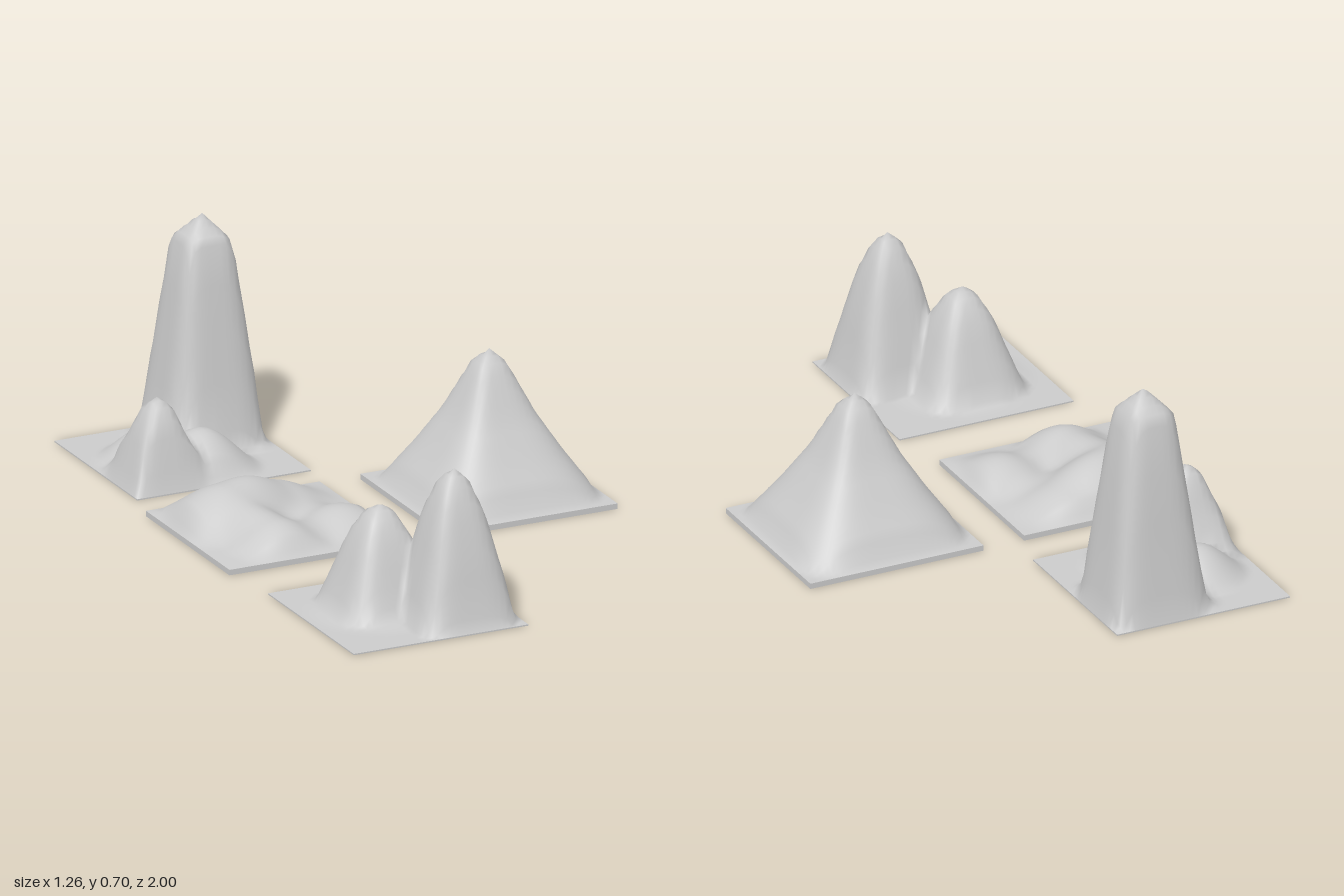
import * as THREE from 'three';

const CELLS = 28;

// Piecewise-linear lookup through [distance, height] pairs
function lookup(profile, d) {
  for (let i = 1; i < profile.length; i++) {
    const [d0, h0] = profile[i - 1], [d1, h1] = profile[i];
    if (d <= d1) return h0 + (h1 - h0) * (d - d0) / (d1 - d0);
  }
  return 0;
}

// Mountain with a rounded-square plan
const peak = (cx, cz, profile) => (x, z) =>
  lookup(profile, ((x - cx) ** 4 + (z - cz) ** 4) ** 0.25);

// Soft round hill
const hill = (cx, cz, height, radius) => (x, z) => {
  const t = Math.min(1, Math.hypot(x - cx, z - cz) / radius);
  return height * (1 - t * t) ** 2;
};

const bell = (h) => [[0, h], [0.04, 0.92 * h], [0.08, 0.71 * h], [0.12, 0.37 * h], [0.16, 0.015]];

// One terrain tile: smooth top, vertical skirt and flat underside
function tile(name, [x0, x1, z0, z1], base, heightAt, material) {
  const group = new THREE.Group();
  group.name = name;
  const w = x1 - x0, d = z1 - z0;

  const top = new THREE.PlaneGeometry(w, d, CELLS, CELLS).rotateX(-Math.PI / 2);
  top.translate((x0 + x1) / 2, 0, (z0 + z1) / 2);
  const p = top.attributes.position;
  for (let i = 0; i < p.count; i++) {
    const x = p.getX(i), z = p.getZ(i);
    const edge = Math.min(x - x0, x1 - x, z - z0, z1 - z);
    const fade = Math.min(1, Math.max(0, edge) / 0.04);
    p.setY(i, base + fade * Math.max(0, heightAt(x, z) - base));
  }
  top.computeVertexNormals();
  const surface = new THREE.Mesh(top, material);
  surface.name = 'terrainSurface';
  group.add(surface);

  const slab = new THREE.BoxGeometry(w, base, d);
  // Drop the upper face, which the terrain replaces
  const index = Array.from(slab.index.array);
  index.splice(12, 6);
  slab.setIndex(index);
  slab.clearGroups();
  slab.translate((x0 + x1) / 2, base / 2, (z0 + z1) / 2);
  const foot = new THREE.Mesh(slab, material);
  foot.name = 'tileBase';
  group.add(foot);
  return group;
}

export function createModel() {
  const model = new THREE.Group();
  model.name = 'terrainTiles';
  const material = new THREE.MeshStandardMaterial({ color: 0xcccccc });
  const highest = (...fs) => (x, z) => Math.max(...fs.map((f) => f(x, z)));
  const sum = (...fs) => (x, z) => fs.reduce((s, f) => s + f(x, z), 0);

  // Tall tower-like mountain with a smaller peak and a low ridge
  model.add(tile('tallMountainTile', [-0.6, -0.035, -1, -0.45], 0.004, highest(
    peak(-0.2, -0.84, [[0, 0.705], [0.08, 0.62], [0.16, 0.03], [0.2, 0]]),
    peak(-0.48, -0.56, [[0, 0.272], [0.04, 0.235], [0.08, 0.14], [0.13, 0.05], [0.18, 0]]),
    hill(-0.32, -0.6, 0.13, 0.2),
    hill(-0.42, -0.75, 0.1, 0.17),
  ), material));

  // Low rolling hills
  model.add(tile('rollingHillsTile', [-0.635, -0.07, -0.32, 0.235], 0.017, sum(
    () => 0.022,
    hill(-0.47, -0.13, 0.11, 0.24),
    hill(-0.28, -0.2, 0.065, 0.2),
    hill(-0.18, 0.05, 0.06, 0.18),
    hill(-0.42, 0.11, 0.075, 0.18),
  ), material));

  // Single wide mountain
  model.add(tile('wideMountainTile', [0.065, 0.63, -0.325, 0.23], 0.017,
    peak(0.3475, -0.0475, [[0, 0.455], [0.045, 0.415], [0.12, 0.262], [0.19, 0.15], [0.283, 0.017], [0.4, 0]]),
    material));

  // Twin peaks
  model.add(tile('twinPeaksTile', [-0.605, -0.037, 0.43, 1], 0.004, highest(
    peak(-0.2, 0.835, bell(0.465)),
    peak(-0.36, 0.67, bell(0.325)),
    hill(-0.36, 0.68, 0.03, 0.28),
  ), material));

  return model;
}
